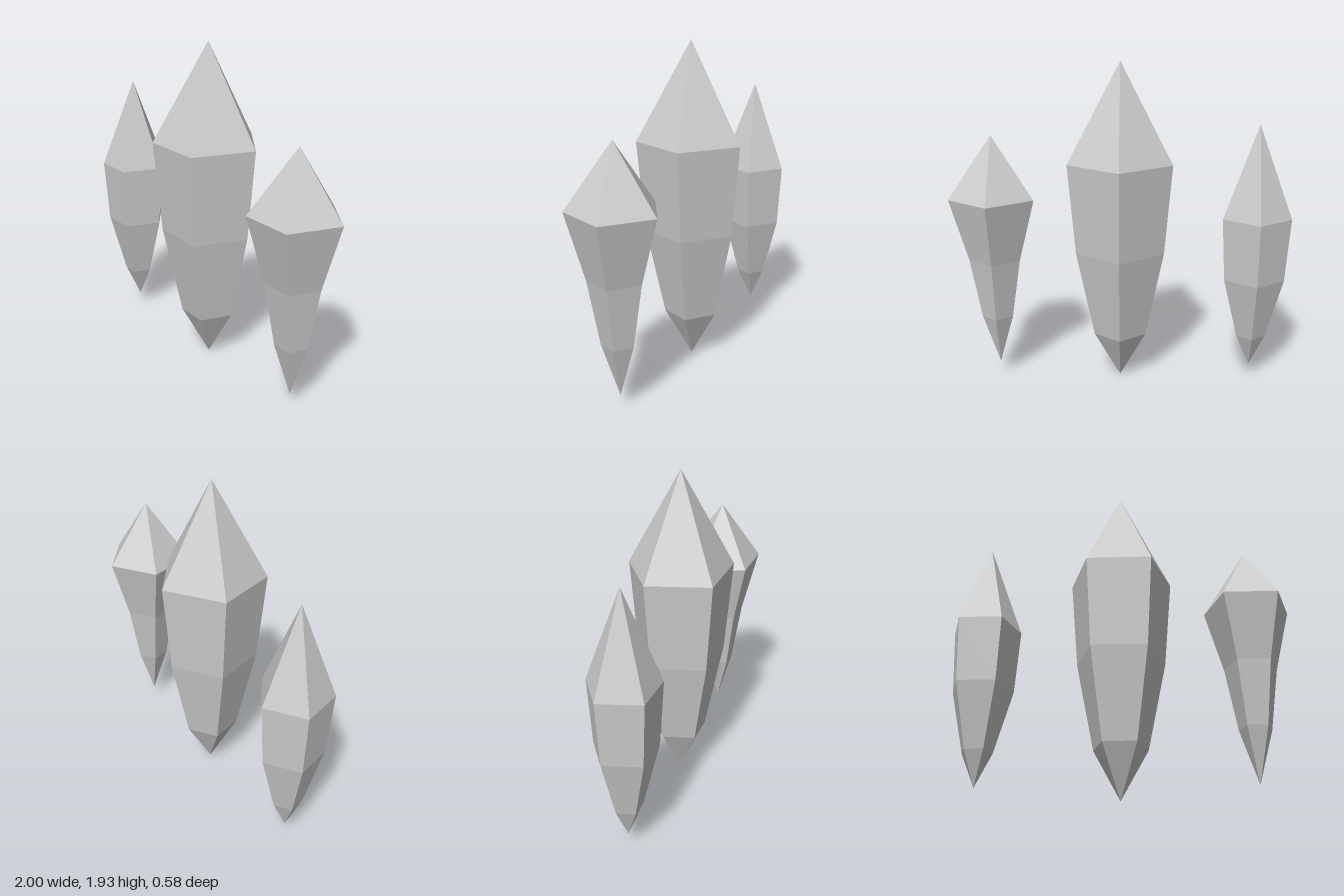
import * as THREE from 'three';

// Each crystal: x position and [radius, height] rings from bottom tip to top tip
const CRYSTALS = [
  { name: 'largeCentreCrystal', x: 0, rings: [[0, 0], [0.163, 0.295], [0.273, 0.825], [0.319, 1.36], [0, 1.935]] },
  { name: 'slimRightCrystal', x: -0.8, rings: [[0, 0.08], [0.091, 0.28], [0.187, 0.653], [0.211, 1.035], [0, 1.58]] },
  { name: 'taperedLeftCrystal', x: 0.75, rings: [[0, 0.08], [0.097, 0.395], [0.159, 0.765], [0.262, 1.145], [0, 1.512]] },
];

export function createModel() {
  const group = new THREE.Group();
  group.name = 'crystals';
  const material = new THREE.MeshStandardMaterial({ color: 0xcccccc, flatShading: true });

  // Five-sided shards with a corner at the back and a flat face at the front
  for (const { name, x, rings } of CRYSTALS) {
    const profile = rings.map(([r, y]) => new THREE.Vector2(r, y));
    const crystal = new THREE.Mesh(new THREE.LatheGeometry(profile, 5, Math.PI), material);
    crystal.name = name;
    crystal.position.set(x, 0, 0.03);
    group.add(crystal);
  }
  return group;
}
